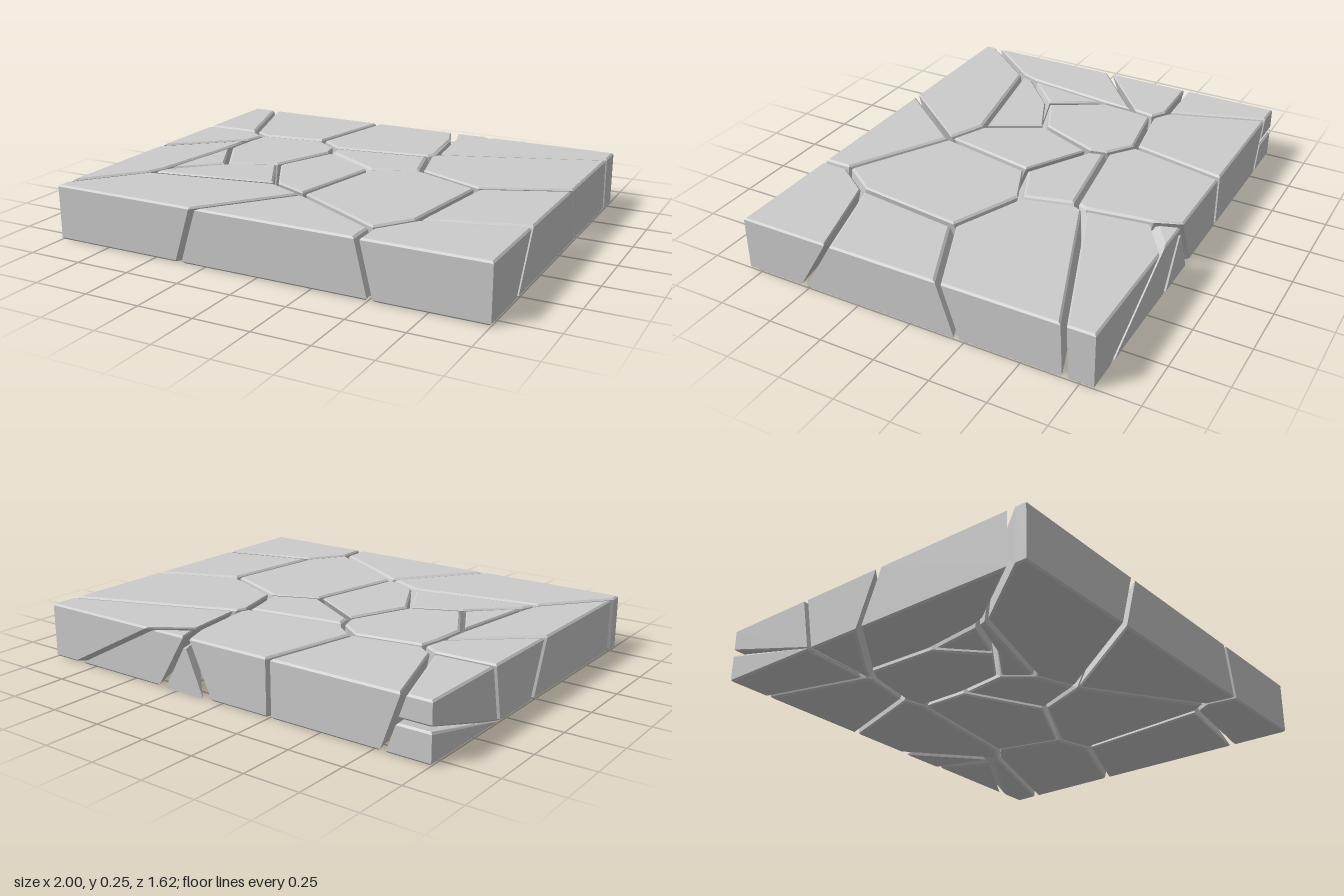
import * as THREE from 'three';
import { ConvexGeometry } from 'three/addons/geometries/ConvexGeometry.js';

const HX = 1, HZ = 0.81, H = 0.25, GAP = 0.012, BEVEL = 0.008;

// Crack junctions: [x, z] on the top face, then [x, z] on the bottom face
const P = {
  // slab corners
  CBL: [-1, -HZ, -1, -HZ], CBR: [1, -HZ, 1, -HZ], CFR: [1, HZ, 1, HZ], CFL: [-1, HZ, -1, HZ],
  // crack ends on the back, right, front and left sides
  B1: [-0.88, -HZ, -0.79, -HZ], B2: [-0.25, -HZ, -0.25, -HZ], B3: [0.18, -HZ, 0.07, -HZ],
  B3c: [0.185, -HZ, 0.34, -HZ], B4: [0.385, -HZ, 0.86, -HZ],
  R1: [1, -0.68, 1, -0.69], R2: [1, -0.14, 1, -0.22], R3: [1, 0.38, 1, 0.53],
  F1: [0.45, HZ, 0.51, HZ], F2: [-0.3, HZ, -0.38, HZ],
  L1: [-1, 0.74, -1, 0.74], L2: [-1, 0.07, -1, -0.03], L3: [-1, -0.36, -1, -0.31],
  // inner junctions
  A: [-0.73, -0.37, -0.66, -0.33], B: [-0.65, -0.32, -0.63, -0.31], C: [-0.34, -0.37, -0.4, -0.36],
  D: [-0.22, -0.28, -0.29, -0.34], E: [-0.2, -0.2, -0.29, -0.1], F: [0.24, -0.35, 0.34, -0.42],
  G: [0.26, -0.4, 0.43, -0.49], H: [0.22, -0.7, 0.46, -0.55], H3: [0.22, -0.7, 0.25, -0.65],
  I: [0.3, -0.12, 0.42, -0.1], J: [0.63, 0.02, 0.59, -0.05], K: [0.09, -0.03, 0.07, 0.08],
  M: [-0.32, 0.09, -0.32, 0.13], N: [-0.18, 0.35, -0.22, 0.25], O: [0, 0.43, -0.03, 0.32],
  Pf: [0.45, 0.68, 0.49, 0.67], Q: [0.57, 0.51, 0.53, 0.6],
  S: [-0.74, 0.38, -0.73, 0.35], T: [-0.77, 0.46, -0.75, 0.41], U: [-0.54, 0.19, -0.5, 0.26],
  V: [-0.67, -0.21, -0.7, -0.27], W: [-0.68, -0.06, -0.69, 0.08],
};

const pieces = {
  backLeftPiece: 'B1 B2 C B A',
  backMiddlePiece: 'B2 B3 H3 G F D C',
  backChip: 'B3c B4 H',
  backRightCornerPiece: 'B4 CBR R1 G H',
  rightBackPiece: 'R1 R2 J I F G',
  rightMiddlePiece: 'R2 R3 Q J',
  frontRightCornerPiece: 'R3 CFR F1 Pf Q',
  frontPiece: 'F1 F2 O Pf',
  frontLeftCornerPiece: 'F2 CFL L1 T N O',
  leftFrontPiece: 'L1 L2 V W S T',
  leftBackPiece: 'L3 A B V L2',
  innerLeftPiece: 'B C D E M U W V',
  innerSliver: 'W U S',
  innerFrontLeftPiece: 'S U M N T',
  innerMiddlePiece: 'E K O N M',
  innerRightPiece: 'K I J Q Pf O',
  innerBackPiece: 'D F I K E',
};

const area = (p) => THREE.ShapeUtils.area(p);

// Moves every edge of a loop inward by its own distance
function inset(loop, dist) {
  const n = loop.length;
  const normal = (i) => {
    const d = loop[(i + 1) % n].clone().sub(loop[i]).normalize();
    return new THREE.Vector2(-d.y, d.x);
  };
  return loop.map((p, i) => {
    const j = (i + n - 1) % n, a = normal(j), b = normal(i);
    const da = dist[j], db = dist[i], det = a.x * b.y - a.y * b.x;
    const o = Math.abs(det) < 0.05
      ? a.clone().multiplyScalar(da)
      : new THREE.Vector2((da * b.y - db * a.y) / det, (a.x * db - b.x * da) / det);
    return o.clampLength(0, 2.2 * Math.max(da, db)).add(p);
  });
}

// One bevelled stone: rings from the bottom outline to the top outline
function pieceGeometry(keys, lowY = () => 0, highY = () => H) {
  let ids = keys.split(' ');
  const at = (id, t) => {
    const [x, z, u, v] = P[id];
    return new THREE.Vector2(u + (x - u) * t, v + (z - v) * t);
  };
  if (area(ids.map((id) => at(id, 1))) < 0) ids = ids.reverse();
  const n = ids.length;
  const gap = ids.map((id, i) => {
    const a = P[id], b = P[ids[(i + 1) % n]];
    const outer = (k, s) => Math.abs(a[k]) === s && a[k] === b[k];
    return outer(0, HX) || outer(1, HZ) ? 0 : GAP;
  });
  const ring = (top, dy, extra) => {
    const ys = ids.map((id) => (top ? highY : lowY)(P[id][1]) + dy);
    const loop = ids.map((id, i) => at(id, ys[i] / H));
    return inset(loop, gap.map((g) => g + extra))
      .map((p, i) => new THREE.Vector3(p.x, ys[i], p.y));
  };
  const rings = [ring(0, 0, BEVEL), ring(0, BEVEL, 0), ring(1, -BEVEL, 0), ring(1, 0, BEVEL)];
  const pos = [];
  const tri = (...v) => v.forEach((p) => pos.push(p.x, p.y, p.z));
  for (let r = 0; r < 3; r++) {
    for (let i = 0; i < n; i++) {
      const j = (i + 1) % n, a = rings[r], b = rings[r + 1];
      tri(a[i], b[j], a[j]);
      tri(a[i], b[i], b[j]);
    }
  }
  // bottom and top caps
  [[rings[0], 1], [rings[3], -1]].forEach(([loop, sign]) => {
    const flat = loop.map((p) => new THREE.Vector2(p.x, p.z));
    THREE.ShapeUtils.triangulateShape(flat, []).forEach(([a, b, c]) => {
      const ok = area([flat[a], flat[b], flat[c]]) * sign > 0;
      tri(loop[a], loop[ok ? b : c], loop[ok ? c : b]);
    });
  });
  const g = new THREE.BufferGeometry();
  g.setAttribute('position', new THREE.Float32BufferAttribute(pos, 3));
  g.computeVertexNormals();
  return g;
}

export function createModel() {
  const group = new THREE.Group();
  group.name = 'crackedSlab';
  const material = new THREE.MeshStandardMaterial({ color: 0xcccccc, flatShading: true });
  const add = (name, geometry) => {
    const mesh = new THREE.Mesh(geometry, material);
    mesh.name = name;
    group.add(mesh);
  };
  for (const [name, keys] of Object.entries(pieces)) add(name, pieceGeometry(keys));

  // back left corner, split by a sloping crack into an upper and a lower stone
  const split = (z) => Math.max(0, 0.14 * (-0.36 - z) / 0.45);
  add('backLeftCornerUpper', pieceGeometry('B1 CBL L3 A', (z) => split(z) + 0.008));
  add('backLeftCornerLower', pieceGeometry('B1 CBL L3 A', undefined,
    (z) => Math.max(2 * BEVEL, split(z) - 0.012)).scale(1, 1, 1));

  // wedge under the back edge, narrowing upward
  add('backWedge', new ConvexGeometry([
    [0.1, 0, -HZ], [0.315, 0, -HZ], [0.395, 0, -0.545],
    [0.185, 0.2, -HZ], [0.2, 0.2, -HZ], [0.235, 0.2, -0.69],
  ].map((p) => new THREE.Vector3(...p))));
  return group;
}
